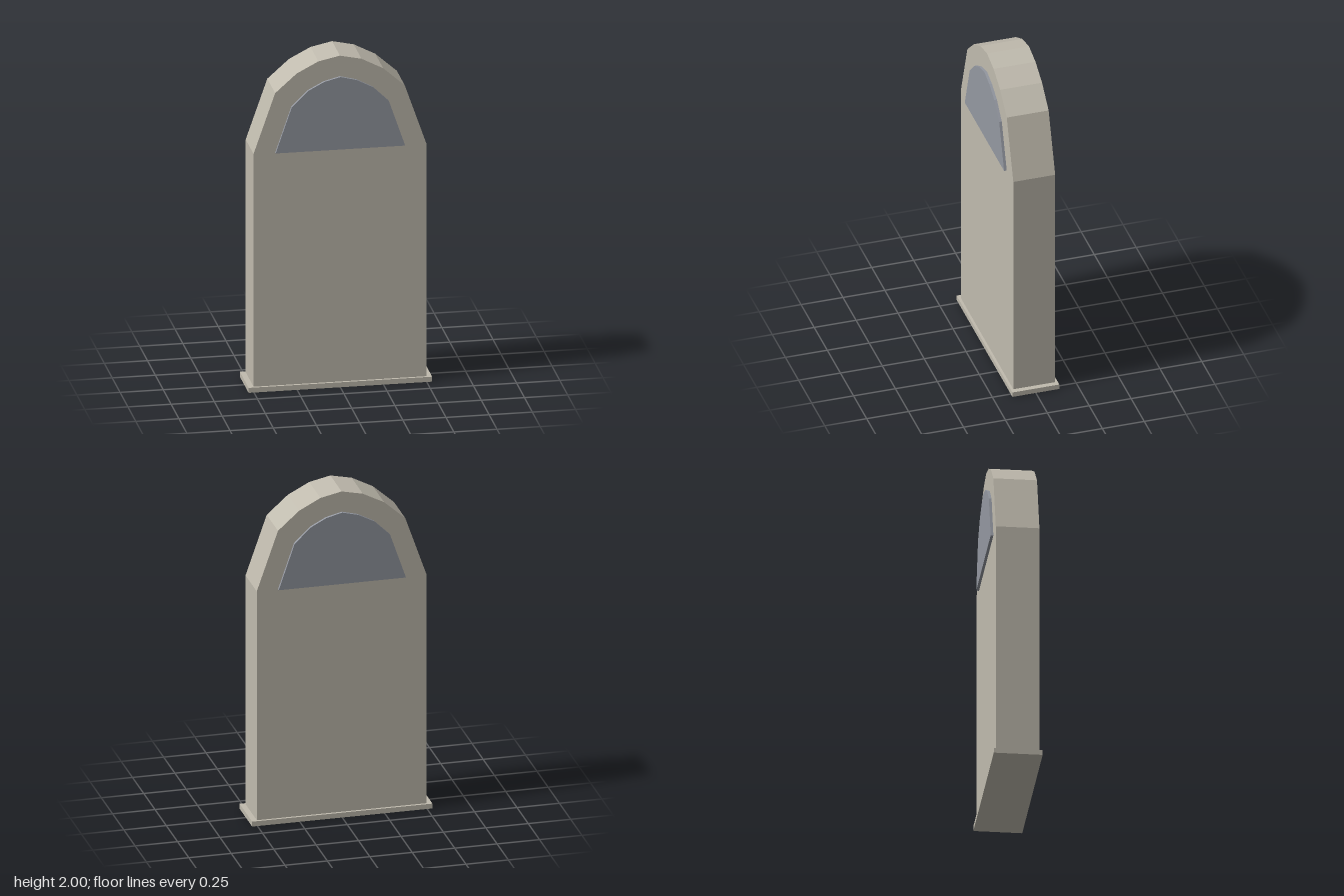
import * as THREE from 'three';

// Symmetric outline: bottom corners, then the right half of the arch mirrored to the left
function archShape(half) {
  const left = half.filter(([x]) => x > 0).reverse().map(([x, y]) => [-x, y]);
  return new THREE.Shape([...half, ...left].map(([x, y]) => new THREE.Vector2(x, y)));
}

function slab(name, shape, depth, z, material) {
  const geometry = new THREE.ExtrudeGeometry(shape, { depth, bevelEnabled: false });
  geometry.translate(0, 0, z - depth / 2);
  const mesh = new THREE.Mesh(geometry, material);
  mesh.name = name;
  return mesh;
}

export function createModel() {
  const model = new THREE.Group();
  model.name = 'archedSlab';

  const stone = new THREE.MeshStandardMaterial({ color: 0xc0bbae });
  stone.name = 'warm grey stone';
  const slate = new THREE.MeshStandardMaterial({ color: 0x9498a1 });
  slate.name = 'blue grey panel';

  // Foot plate
  const base = new THREE.Mesh(new THREE.BoxGeometry(1.0625, 0.03, 0.28), stone);
  base.name = 'base';
  base.position.y = 0.015;
  model.add(base);

  // Upright body with a faceted arched top
  const bodyOutline = [
    [0.5, 0.03], [0.5, 1.4375], [0.375, 1.797], [0.25, 1.908], [0.125, 1.973], [0, 2],
  ];
  model.add(slab('body', archShape(bodyOutline), 0.25, 0, stone));

  // Raised arched panel on the front and the back
  const panelOutline = [
    [0.375, 1.4375], [0.281, 1.712], [0.1875, 1.803], [0.094, 1.852], [0, 1.876],
  ];
  for (const [name, side] of [['frontPanel', 1], ['backPanel', -1]]) {
    model.add(slab(name, archShape(panelOutline), 0.0156, side * 0.1328, slate));
  }

  return model;
}
